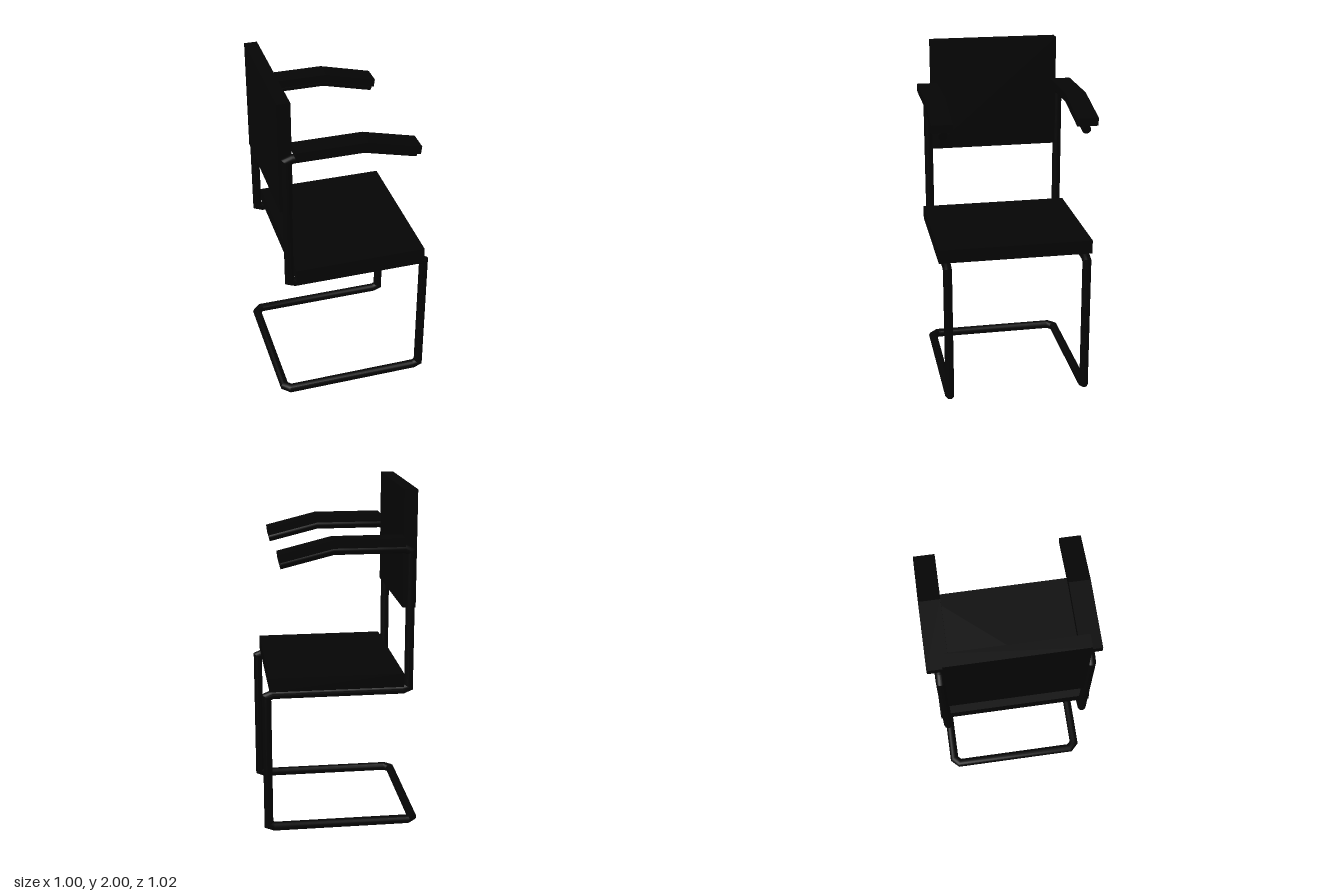
import * as THREE from 'three';
import { toCreasedNormals } from 'three/addons/utils/BufferGeometryUtils.js';

const V = (x, y, z) => new THREE.Vector3(x, y, z);

// Cut every sharp corner of a polyline into a short bevel, longer along level runs.
function bevelPath(points) {
  const out = [];
  points.forEach((p, i) => {
    const a = points[i - 1], b = points[i + 1];
    if (!a || !b) return out.push(p);
    const legs = [a, b].map(q => q.clone().sub(p).normalize());
    if (legs[0].dot(legs[1]) < -0.5) return out.push(p);
    legs.forEach(d => out.push(p.clone().addScaledVector(d, Math.abs(d.y) > 0.5 ? 0.014 : 0.034)));
  });
  return out;
}

// Round pipe along a polyline, with mitred joints and closed ends.
function pipe(points, radius, sides) {
  const dirs = points.slice(1).map((p, i) => p.clone().sub(points[i]).normalize());
  const side = V(0, 0, 1), up = dirs[0].clone().cross(side);
  let ring = [];
  for (let k = 0; k < sides; k++) {
    const t = (k / sides) * Math.PI * 2;
    ring.push(points[0].clone().addScaledVector(side, radius * Math.cos(t)).addScaledVector(up, radius * Math.sin(t)));
  }
  const verts = [...ring], index = [];
  dirs.forEach((d, i) => {
    const end = points[i + 1], n = d.clone().add(dirs[i + 1] || d);
    ring = ring.map(p => p.clone().addScaledVector(d, end.clone().sub(p).dot(n) / d.dot(n)));
    verts.push(...ring);
    for (let k = 0; k < sides; k++) {
      const a = i * sides + k, b = i * sides + (k + 1) % sides;
      index.push(a, b, b + sides, a, b + sides, a + sides);
    }
  });
  const last = verts.length - sides;
  for (let k = 1; k < sides - 1; k++) index.push(0, k + 1, k, last, last + k, last + k + 1);
  const geo = new THREE.BufferGeometry().setFromPoints(verts);
  geo.setIndex(index);
  return toCreasedNormals(geo, 0.5);
}

export function createModel() {
  const group = new THREE.Group();
  const chair = new THREE.Group();
  chair.name = 'cantileverChair';
  chair.rotation.y = -0.111; // the chair faces +x, turned slightly
  group.add(chair);

  const black = new THREE.MeshStandardMaterial({ color: 0x050505 });
  const add = (name, geo, x = 0, y = 0, z = 0) => {
    const mesh = new THREE.Mesh(geo, black);
    mesh.name = name;
    mesh.position.set(x, y, z);
    chair.add(mesh);
  };

  // Continuous frame: arm, upright, seat rail, front leg and floor runner, then mirrored
  const w = 0.408;
  const half = [
    [0.345, 1.602], [0.046, 1.675], [-0.393, 1.675], [-0.393, 0.85],
    [0.428, 0.85], [0.428, 0.027], [-0.436, 0.027],
  ];
  const path = [
    ...half.map(([x, y]) => V(x, y, w)),
    ...half.slice().reverse().map(([x, y]) => V(x, y, -w)),
  ];
  add('tubeFrame', pipe(bevelPath(path), 0.026, 16));

  // Seat and back panels
  add('seat', new THREE.BoxGeometry(0.773, 0.08, 0.898), 0.0265, 0.915, 0.005);
  add('backrest', new THREE.BoxGeometry(0.075, 0.67, 0.771), -0.392, 1.665, 0);

  // Bent armrest planks resting on the tubes
  const profile = new THREE.Shape([
    [-0.35, 1.697], [0.047, 1.697], [0.35, 1.623], [0.356, 1.67], [0.05, 1.745], [-0.35, 1.745],
  ].map(([x, y]) => new THREE.Vector2(x, y)));
  const plank = new THREE.ExtrudeGeometry(profile, { depth: 0.122, bevelEnabled: false });
  plank.translate(0, 0, -0.061);
  add('rightArmrest', plank, 0, 0, 0.413);
  add('leftArmrest', plank, 0, 0, -0.413);

  return group;
}
